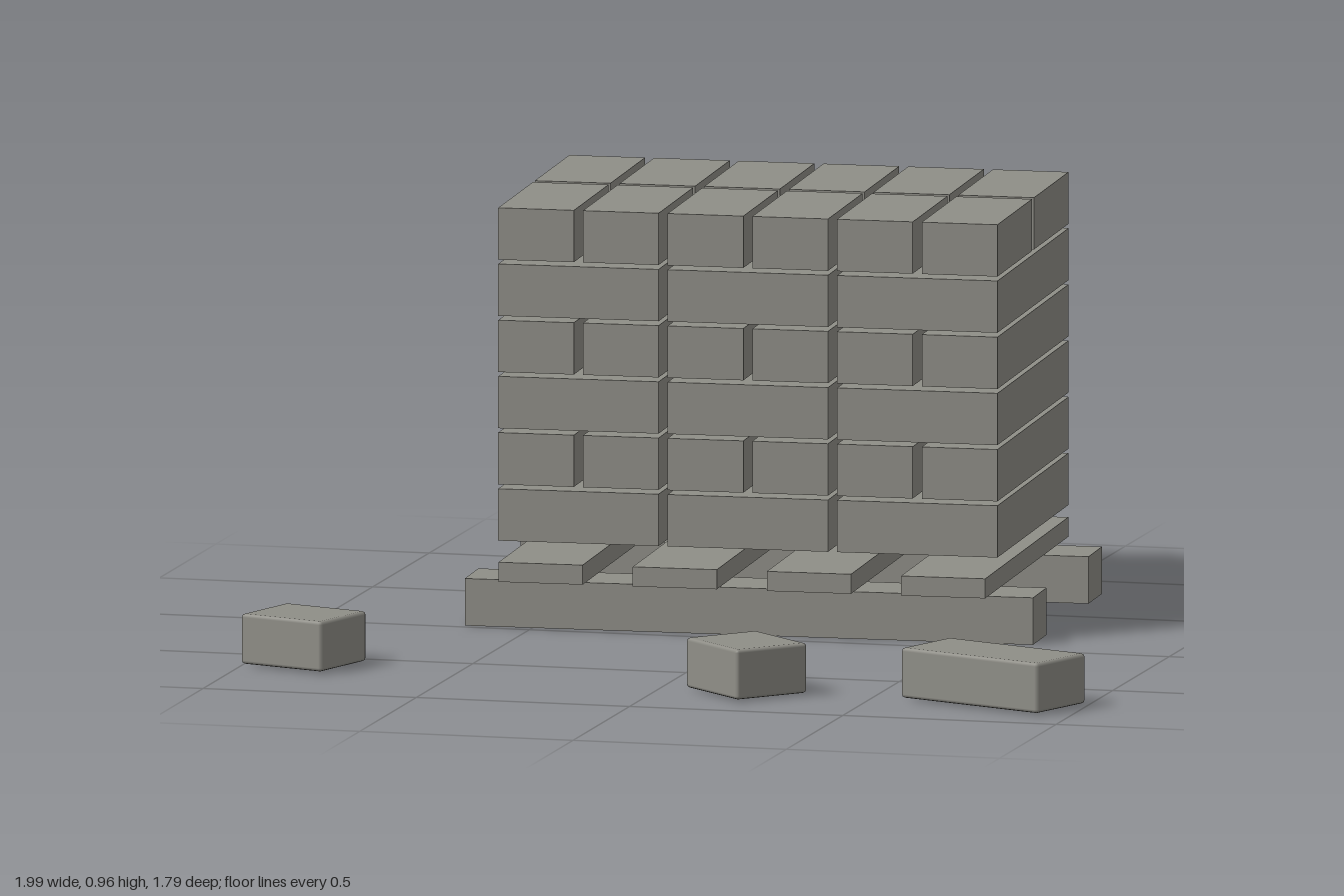
import * as THREE from 'three';
import { RoundedBoxGeometry } from 'three/addons/geometries/RoundedBoxGeometry.js';

export function createModel() {
  const model = new THREE.Group();
  model.name = 'brickPallet';
  const stone = new THREE.MeshStandardMaterial({ color: 0x8f8e87 });
  stone.name = 'warm grey';

  function add(parent, name, geometry, x, y, z, turn = 0) {
    const mesh = new THREE.Mesh(geometry, stone);
    mesh.name = name;
    mesh.position.set(x, y, z);
    mesh.rotation.y = turn;
    parent.add(mesh);
    return mesh;
  }

  // Loaded pallet, turned slightly
  const pallet = new THREE.Group();
  pallet.name = 'loadedPallet';
  pallet.position.set(-0.017, 0, -0.425);
  pallet.rotation.y = 0.048;
  model.add(pallet);

  // Two long runners on the ground
  const runner = new THREE.BoxGeometry(1.317, 0.108, 0.147);
  for (const side of [-1, 1]) add(pallet, 'runner', runner, 0, 0.054, side * 0.3);

  // Four cross slats
  const slat = new THREE.BoxGeometry(0.195, 0.045, 0.9);
  for (let i = 0; i < 4; i++) add(pallet, 'slat', slat, (i - 1.5) * 0.311, 0.138, 0);

  // Brick courses: columns alternate three and six, the top is split into two rows
  const length = 1.157, depth = 0.77, gap = 0.021, height = 0.119;
  const courses = [[3, 1], [6, 1], [3, 1], [6, 1], [3, 1], [6, 2]];
  courses.forEach(([columns, rows], level) => {
    const course = new THREE.Group();
    course.name = 'brickCourse';
    course.position.y = 0.259 + level * 0.129;
    pallet.add(course);
    const w = (length - gap * (columns - 1)) / columns;
    const d = (depth - gap * (rows - 1)) / rows;
    const brick = new THREE.BoxGeometry(w, height, d);
    for (let c = 0; c < columns; c++) {
      for (let r = 0; r < rows; r++) {
        add(course, 'brick', brick,
          (c - (columns - 1) / 2) * (w + gap), 0, (r - (rows - 1) / 2) * (d + gap));
      }
    }
  });

  // Loose bricks with softened edges: [name, length, width, x, z, turn]
  const loose = [
    ['looseBrick', 0.385, 0.186, 0.783, 0.737, -0.376],
    ['looseHalfBrick', 0.216, 0.19, 0.205, 0.738, -0.746],
    ['looseHalfBrick', 0.218, 0.19, -0.867, 0.612, -0.316],
  ];
  for (const [name, w, d, x, z, turn] of loose) {
    add(model, name, new RoundedBoxGeometry(w, 0.115, d, 1, 0.008), x, 0.0625, z, turn);
  }
  return model;
}
